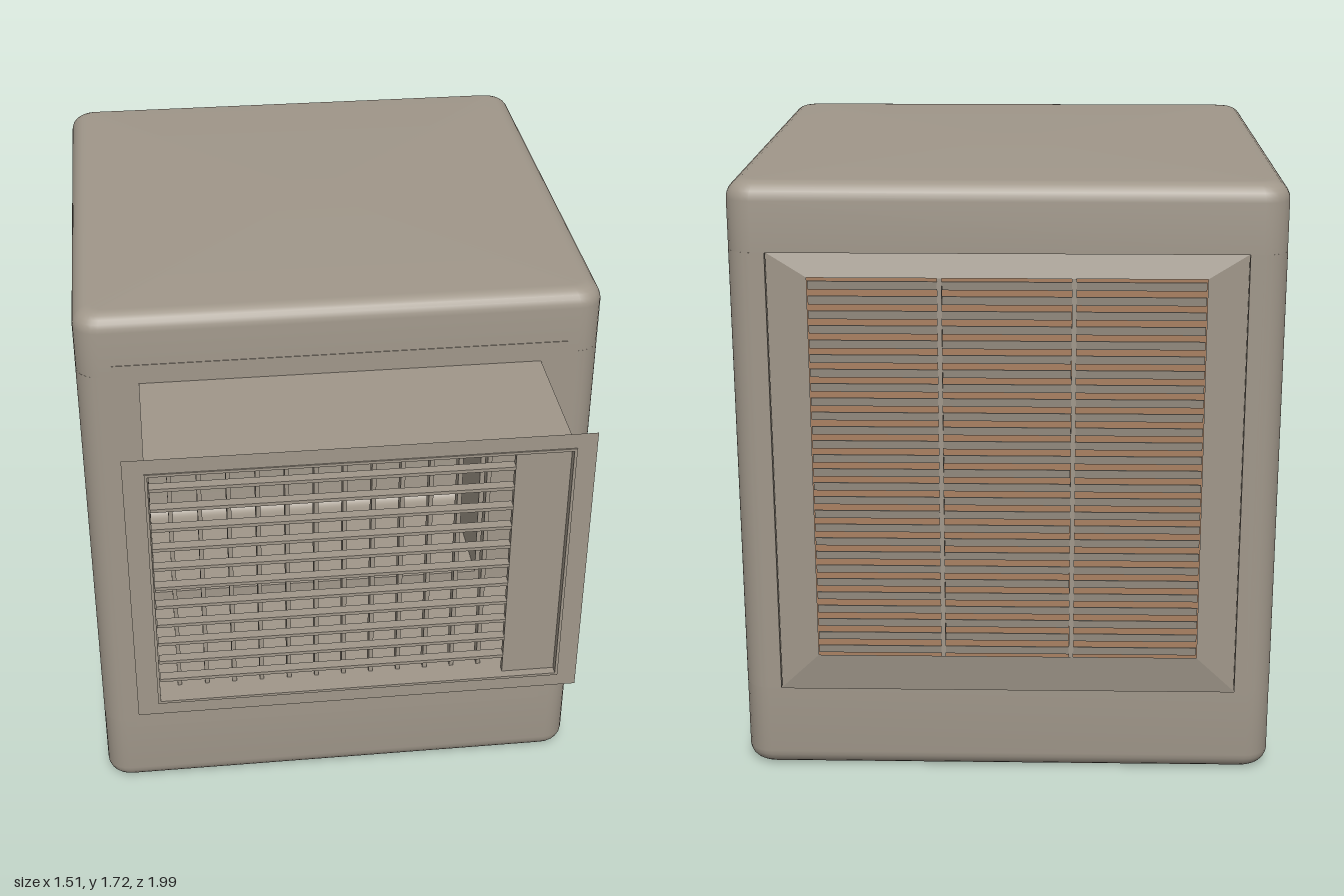
import * as THREE from 'three';
import { toCreasedNormals } from 'three/addons/utils/BufferGeometryUtils.js';

const CZ = -0.23; // centre of the square cabinet in z
const HALF = 0.757; // half width of the cabinet

const casing = new THREE.MeshStandardMaterial({ color: 0xa0978a, side: THREE.DoubleSide });
casing.name = 'casing grey';
const padBrown = new THREE.MeshStandardMaterial({ color: 0xa98061 });
padBrown.name = 'pad brown';

function add(parent, name, geometry, material = casing) {
  const mesh = new THREE.Mesh(geometry, material);
  mesh.name = name;
  parent.add(mesh);
  return mesh;
}

function box(parent, name, w, h, d, x, y, z, material) {
  const mesh = add(parent, name, new THREE.BoxGeometry(w, h, d), material);
  mesh.position.set(x, y, z);
  return mesh;
}

// Rectangle path from corner coordinates
function rect(x0, y0, x1, y1, Kind = THREE.Shape) {
  return new Kind([[x0, y0], [x1, y0], [x1, y1], [x0, y1]].map(p => new THREE.Vector2(...p)));
}

function plate(outer, hole, depth) {
  outer.holes.push(hole);
  return new THREE.ExtrudeGeometry(outer, { depth, bevelEnabled: false });
}

// Points of a rounded square with a given half width and corner radius
function roundedSquare(half, r) {
  const pts = [];
  for (let c = 0; c < 4; c++) {
    for (let i = 0; i <= 6; i++) {
      const a = (c + i / 6) * Math.PI / 2;
      const sx = c === 0 || c === 3 ? 1 : -1, sz = c < 2 ? 1 : -1;
      pts.push([sx * (half - r) + r * Math.cos(a), sz * (half - r) + r * Math.sin(a)]);
    }
  }
  return pts;
}

// Rounded tray: rings of [half, radius, y] from open edge to closed face
function tray(rings) {
  const pos = [], idx = [], n = 28;
  rings.forEach(([half, r, y]) => roundedSquare(half, r).forEach(([x, z]) => pos.push(x, y, z)));
  const up = rings[rings.length - 1][2] > rings[0][2];
  const tri = (a, b, c) => (up ? idx.push(a, c, b) : idx.push(a, b, c));
  for (let k = 0; k < rings.length - 1; k++) {
    for (let i = 0; i < n; i++) {
      const j = (i + 1) % n, a = k * n + i, b = k * n + j;
      tri(a, b, b + n);
      tri(a, b + n, a + n);
    }
  }
  const last = (rings.length - 1) * n;
  pos.push(0, rings[rings.length - 1][2], 0);
  for (let i = 0; i < n; i++) tri(last + i, last + (i + 1) % n, rings.length * n);
  const g = new THREE.BufferGeometry();
  g.setAttribute('position', new THREE.Float32BufferAttribute(pos, 3));
  g.setIndex(idx);
  return toCreasedNormals(g, 0.6);
}

// Profile curving from the side wall into the flat face
function trayRings(edgeY, faceY) {
  const s = Math.sign(faceY - edgeY), r = 0.05, rings = [[HALF, 0.07, edgeY]];
  for (let i = 0; i <= 6; i++) {
    const a = i / 6 * Math.PI / 2, inset = r * (1 - Math.cos(a));
    rings.push([HALF - inset, 0.07 - inset * 0.6, faceY - s * r * (1 - Math.sin(a))]);
  }
  rings.push([HALF - r - 0.005, 0.038, faceY]);
  return rings;
}

// Corner post: rounded L section, standing upright
function cornerPost() {
  const o = HALF, r = 0.07, inner = 0.65, t = 0.02;
  const s = new THREE.Shape();
  s.moveTo(inner, o - t);
  s.lineTo(inner, o);
  s.lineTo(o - r, o);
  s.absarc(o - r, o - r, r, Math.PI / 2, 0, true);
  s.lineTo(o, inner);
  s.lineTo(o - t, inner);
  s.lineTo(o - t, o - r);
  s.absarc(o - r, o - r, r - t, 0, Math.PI / 2, false);
  const g = new THREE.ExtrudeGeometry(s, { depth: 1.28, bevelEnabled: false, curveSegments: 8 });
  g.rotateX(-Math.PI / 2);
  return toCreasedNormals(g, 0.6);
}

// Border rising gently from a recessed outer edge to the louvres
function slopedFrame() {
  const P = [
    [-0.66, 0.24, 0.728], [0.66, 0.24, 0.728], [0.66, 1.54, 0.728], [-0.66, 1.54, 0.728],
    [-0.54, 0.36, 0.747], [0.54, 0.36, 0.747], [0.54, 1.47, 0.747], [-0.54, 1.47, 0.747],
  ];
  const idx = [];
  for (let i = 0; i < 4; i++) {
    const j = (i + 1) % 4;
    idx.push(i, j, j + 4, i, j + 4, i + 4);
  }
  const g = new THREE.BufferGeometry();
  g.setAttribute('position', new THREE.Float32BufferAttribute(P.flat(), 3));
  g.setIndex(idx);
  return toCreasedNormals(g, 0.05);
}

// Louvred panel facing +z with the cooling pad behind it
function louvrePanel(name) {
  const g = new THREE.Group();
  g.name = name;
  add(g, 'panelFrame', slopedFrame());
  const count = 27, pitch = 1.11 / count;
  for (let c = -1; c <= 1; c++) {
    for (let i = 0; i < count; i++) {
      const slat = box(g, 'slat', 0.35, 0.025, 0.003, c * 0.363, 0.36 + (i + 0.5) * pitch, 0.747);
      slat.rotation.x = 0.2;
    }
  }
  for (const x of [-0.182, 0.182]) box(g, 'louvreDivider', 0.013, 1.11, 0.01, x, 0.915, 0.745);
  box(g, 'coolingPad', 1.22, 1.27, 0.03, 0, 0.9, 0.7, padBrown);
  return g;
}

export function createModel() {
  const model = new THREE.Group();
  model.name = 'evaporativeCooler';

  // Cabinet shell
  const cabinet = new THREE.Group();
  cabinet.name = 'cabinet';
  cabinet.position.z = CZ;
  model.add(cabinet);
  add(cabinet, 'lid', tray(trayRings(1.54, 1.73)));
  add(cabinet, 'basePan', tray(trayRings(0.26, 0.008)));
  const post = cornerPost();
  for (let i = 0; i < 4; i++) {
    const m = add(cabinet, 'cornerPost', post);
    m.position.y = 0.26;
    m.rotation.y = i * Math.PI / 2;
  }

  // Louvred panels on both sides and the back
  ['leftPanel', 'backPanel', 'rightPanel'].forEach((name, i) => {
    const p = louvrePanel(name);
    p.rotation.y = (i + 1) * Math.PI / 2;
    cabinet.add(p);
  });

  // Front panel with the air opening and the sleeve behind it
  const opening = () => rect(-0.57, 0.77, 0.42, 1.505, THREE.Path);
  const front = plate(rect(-0.655, 0.235, 0.655, 1.575), opening(), 0.015);
  add(model, 'frontPanel', front).position.z = 0.514;
  const sleeve = plate(rect(-0.576, 0.764, 0.426, 1.511), opening(), 0.3);
  add(model, 'airSleeve', sleeve).position.z = 0.214;

  // Outlet duct, with a thin flange around its mouth
  const duct = new THREE.Group();
  duct.name = 'outletDuct';
  model.add(duct);
  const tube = plate(rect(-0.58, 0.73, 0.58, 1.515), rect(-0.572, 0.738, 0.572, 1.507, THREE.Path), 0.471);
  add(duct, 'ductWalls', tube).position.z = 0.529;
  const flange = rect(-0.638, 0.69, 0.635, 1.56);
  flange.holes.push(rect(-0.572, 0.738, 0.572, 1.507, THREE.Path));
  add(duct, 'ductFlange', new THREE.ShapeGeometry(flange)).position.z = 0.996;

  // Outlet grille: horizontal vanes in front of vertical ones
  const grille = new THREE.Group();
  grille.name = 'outletGrille';
  model.add(grille);
  for (let i = 0; i < 11; i++) {
    box(grille, 'horizontalVane', 0.99, 0.01, 0.03, -0.075, 0.798 + i * 0.0652, 0.965);
  }
  for (let i = 0; i < 12; i++) {
    box(grille, 'verticalVane', 0.012, 0.77, 0.035, -0.515 + i * 0.0793, 1.122, 0.915);
  }
  box(grille, 'controlPanel', 0.152, 0.77, 0.02, 0.496, 1.122, 0.965);

  return model;
}
